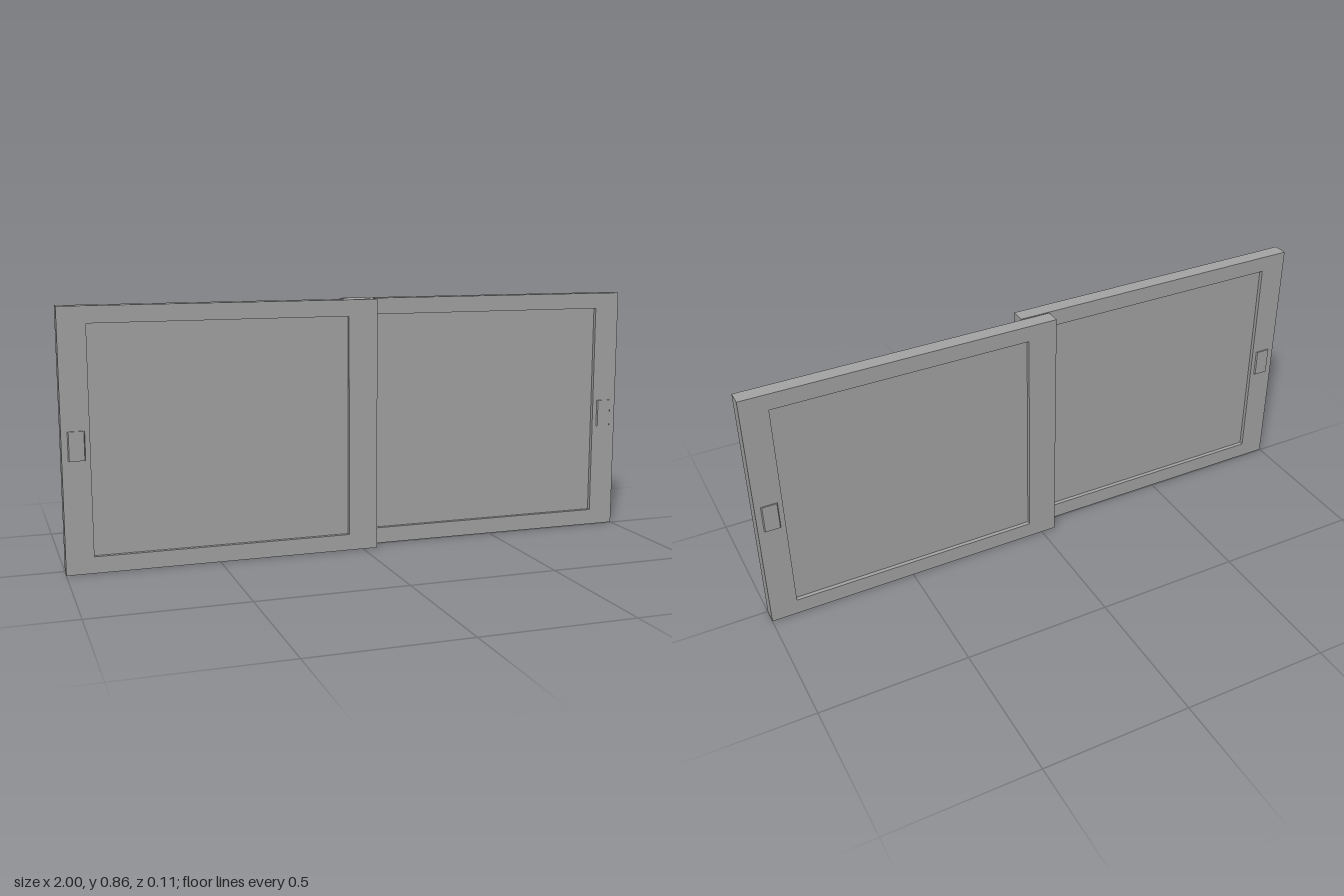
import * as THREE from 'three';

const HEIGHT = 0.857;
const DEPTH = 0.05;

export function createModel() {
  const grey = new THREE.MeshStandardMaterial({ color: 0xa4a4a4 });
  grey.name = 'matte grey';

  const rect = (Type, x0, y0, x1, y1) =>
    new Type([[x0, y0], [x1, y0], [x1, y1], [x0, y1]].map(([x, y]) => new THREE.Vector2(x, y)));

  function add(group, name, geometry, x = 0, y = 0, z = 0) {
    const mesh = new THREE.Mesh(geometry, grey);
    mesh.name = name;
    mesh.position.set(x, y, z);
    group.add(mesh);
    return mesh;
  }

  // One sliding sash, on the -x side and in the front track
  function createSash(name) {
    const sash = new THREE.Group();
    sash.name = name;

    // Frame with a rectangular opening
    const outline = rect(THREE.Shape, -1, 0, 0.05, HEIGHT);
    outline.holes.push(rect(THREE.Path, -0.91, 0.055, -0.05, 0.802));
    const frame = new THREE.ExtrudeGeometry(outline, { depth: DEPTH, bevelEnabled: false });
    add(sash, 'frame', frame, 0, 0, 0.0025);

    // Pane set back from both faces
    add(sash, 'pane', new THREE.BoxGeometry(0.86, 0.747, 0.022), -0.48, 0.4285, 0.0275);

    // Slightly tapered pull running through the stile, proud of both faces
    const half = DEPTH / 2;
    const profile = new THREE.Shape([
      [-0.027, -half], [-0.024, -half - 0.0045], [0.024, -half - 0.0045], [0.027, -half],
      [0.027, half], [0.024, half + 0.0045], [-0.024, half + 0.0045], [-0.027, half],
    ].map(([x, y]) => new THREE.Vector2(x, y)));
    const pull = new THREE.ExtrudeGeometry(profile, { depth: 0.095, bevelEnabled: false });
    pull.rotateX(-Math.PI / 2);
    add(sash, 'pull', pull, -0.953, 0.37, 0.0275);
    return sash;
  }

  const model = new THREE.Group();
  model.name = 'slidingWindow';
  const front = createSash('frontSash');
  const back = createSash('backSash');
  back.rotation.y = Math.PI; // same sash turned round into the rear track
  model.add(front, back);
  return model;
}
